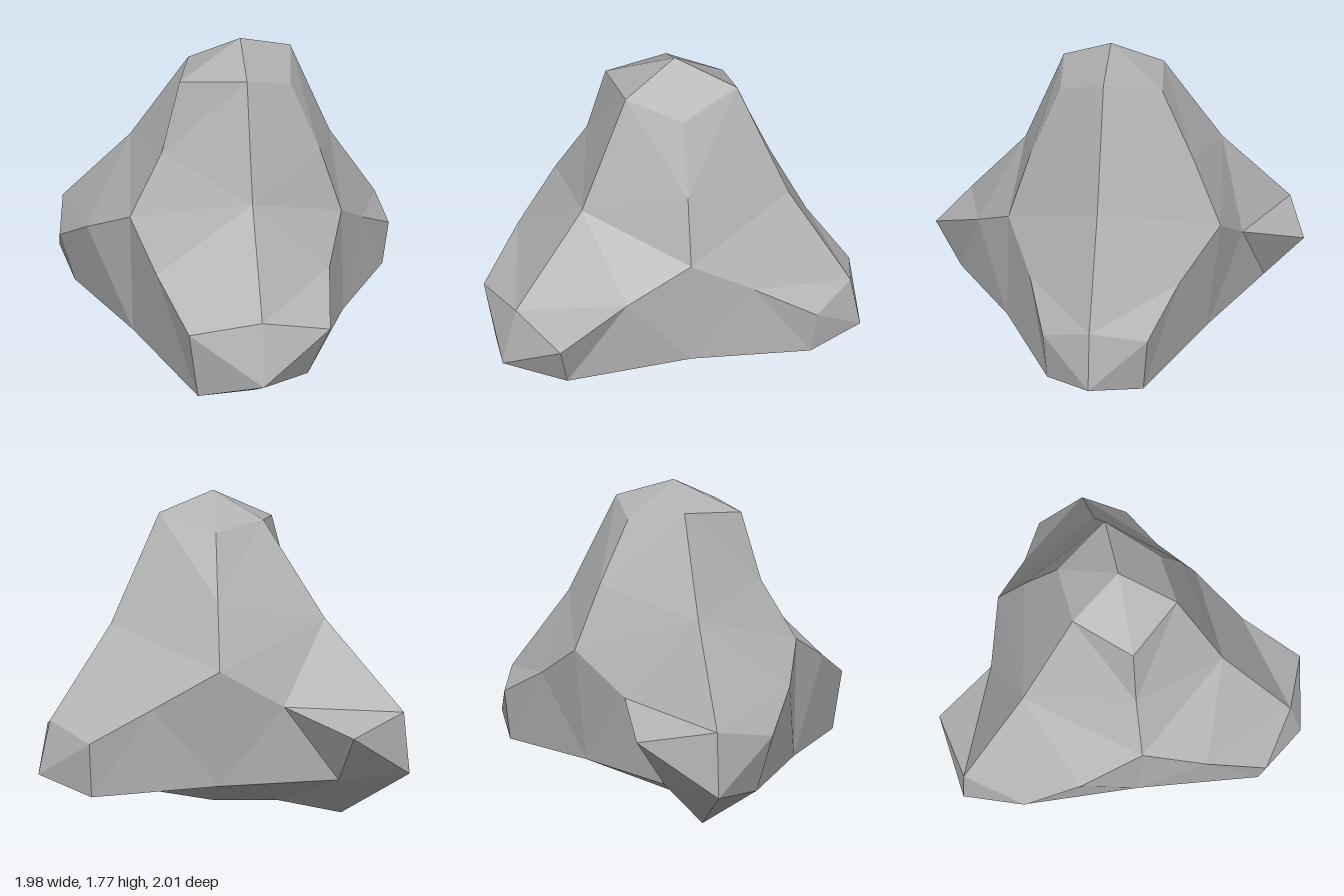
import * as THREE from 'three';

// A four-armed rock: tetrahedral arms (0 top, 1 right, 2 front, 3 back),
// each point worn to its own radius. A face is numbered by the arm opposite it.
const CENTRE = new THREE.Vector3(0.17, 0.69, -0.055);
const FLATTEN = new THREE.Vector3(1, 0.9, 1);
const AXES = [new THREE.Vector3(0, 1, 0)];
for (const turn of [-90, 30, 150]) {
  AXES.push(new THREE.Vector3().setFromSphericalCoords(1, Math.acos(-1 / 3), THREE.MathUtils.degToRad(turn)));
}

// Radii by [arm][arm it leans towards]; the diagonal is the arm's tip
const RIDGE = [
  [1.2, 1.08, 1.1, 1.14],
  [1.13, 1.24, 1.07, 0.98],
  [1.05, 1.18, 1.22, 1.07],
  [1.02, 1.07, 1.03, 1.16],
];
// Radii by [arm][face], for the end corners and the slopes below them
const CORNER = [
  [0, 1.01, 1.04, 1.09],
  [1.06, 0, 1.08, 1.03],
  [1.04, 1.08, 0, 1.09],
  [0.97, 0.96, 0.99, 0],
];
const SLOPE = [
  [0, 0.75, 0.81, 0.79],
  [0.81, 0, 0.72, 0.85],
  [0.87, 0.75, 0, 0.86],
  [0.74, 0.7, 0.76, 0],
];
// How far the end corners of each arm spread
const SPREAD = [0.285, 0.335, 0.305, 0.33];
// Radii of the saddles between two arms, by the sum of 2^arm, and of the face middles
const SEAM = { 3: 0.82, 5: 0.745, 9: 0.79, 6: 0.87, 10: 0.78, 12: 0.78 };
const MIDDLE = [0.768, 0.64, 0.745, 0.757];

// Arms around each face, counter-clockwise from outside
const FACES = [[1, 3, 2], [0, 2, 3], [0, 3, 1], [0, 1, 2]];

// Point at a radius, along one arm's axis leaning towards others by a weight
function point(radius, arm, others, weight) {
  const p = AXES[arm].clone();
  others.forEach((o) => p.addScaledVector(AXES[o], weight));
  return p.setLength(radius).multiply(FLATTEN).add(CENTRE);
}
// Points further out also lean a little further
function ridge(i, j) {
  const r = RIDGE[i][j];
  return point(r, i, [j], 0.28 + 0.27 * (r - 1.07));
}
function corner(i, k, others) {
  const r = CORNER[i][k];
  return point(r, i, others, SPREAD[i] + 0.7 * (r - 1.04));
}
function slope(i, k, others) {
  const r = SLOPE[i][k];
  return point(r, i, others, 0.555 + 0.4 * (r - 0.78));
}
const seam = (i, j) => point(SEAM[2 ** i + 2 ** j], i, [j], 1);

export function createModel() {
  const points = [];
  const quad = (a, b, c, d) => points.push(a, b, c, a, c, d);

  FACES.forEach((arms, k) => {
    const middle = point(MIDDLE[k], arms[0], arms.slice(1), 1);
    arms.forEach((i, n) => {
      const j = arms[(n + 1) % 3], l = arms[(n + 2) % 3];
      const end = corner(i, k, [j, l]);
      const side = slope(i, k, [j, l]);
      // blunt end of the arm
      quad(ridge(i, i), ridge(i, j), end, ridge(i, l));
      // two flanks
      quad(ridge(i, j), seam(i, j), side, end);
      quad(ridge(i, l), end, side, seam(i, l));
      // panel between two arms
      quad(middle, side, seam(i, j), slope(j, k, [i, l]));
    });
  });

  const geometry = new THREE.BufferGeometry().setFromPoints(points);
  geometry.computeVertexNormals();

  const stone = new THREE.MeshStandardMaterial({ color: 0xb0b0b0 });
  stone.name = 'grey stone';

  const rock = new THREE.Mesh(geometry, stone);
  rock.name = 'rock';
  const group = new THREE.Group();
  group.name = 'facetedRock';
  group.add(rock);
  return group;
}
